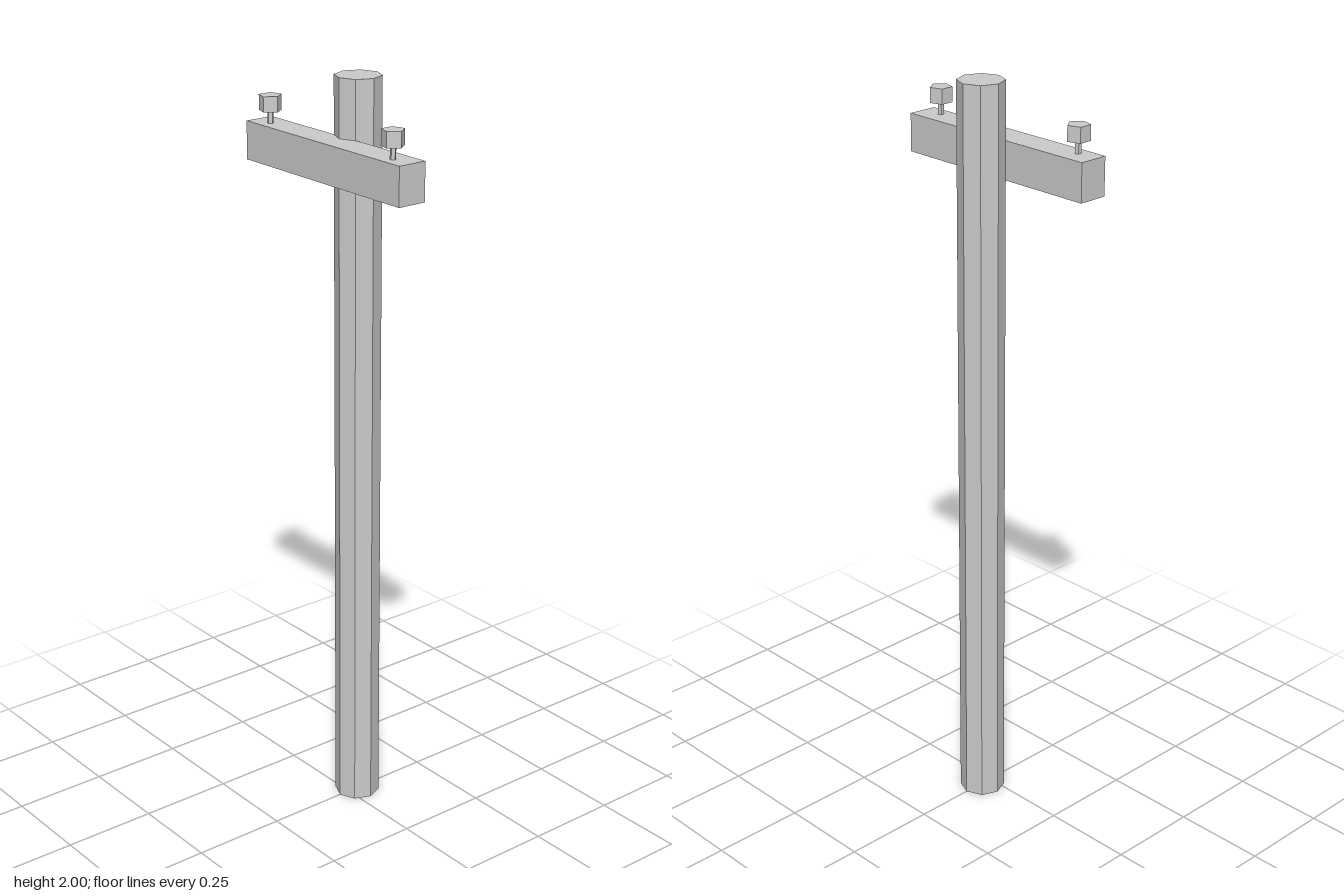
import * as THREE from 'three';

export function createModel() {
  const group = new THREE.Group();
  group.name = 'utilityPole';
  const material = new THREE.MeshStandardMaterial({ color: 0xcccccc, flatShading: true });

  const add = (name, geometry, x, y, z, parent = group) => {
    const mesh = new THREE.Mesh(geometry, material);
    mesh.name = name;
    mesh.position.set(x, y, z);
    parent.add(mesh);
    return mesh;
  };

  // Eight-sided pole
  add('pole', new THREE.CylinderGeometry(0.06, 0.06, 2, 8), 0, 1, -0.03);

  // Crossarm let slightly into the front of the pole
  add('crossarm', new THREE.BoxGeometry(0.6, 0.1, 0.08), 0, 1.8, 0.05);

  // Five-sided insulators on thin pins; both point towards +x
  for (const [side, x] of [['left', 0.24], ['right', -0.24]]) {
    const insulator = new THREE.Group();
    insulator.name = `${side}Insulator`;
    insulator.position.set(x, 1.85, 0.059);
    insulator.rotation.y = Math.PI / 2;
    add(`${side}Pin`, new THREE.CylinderGeometry(0.008, 0.008, 0.04, 5), 0, 0.015, 0, insulator);
    add(`${side}Cap`, new THREE.CylinderGeometry(0.03, 0.03, 0.04, 5), 0, 0.052, 0, insulator);
    group.add(insulator);
  }

  return group;
}
